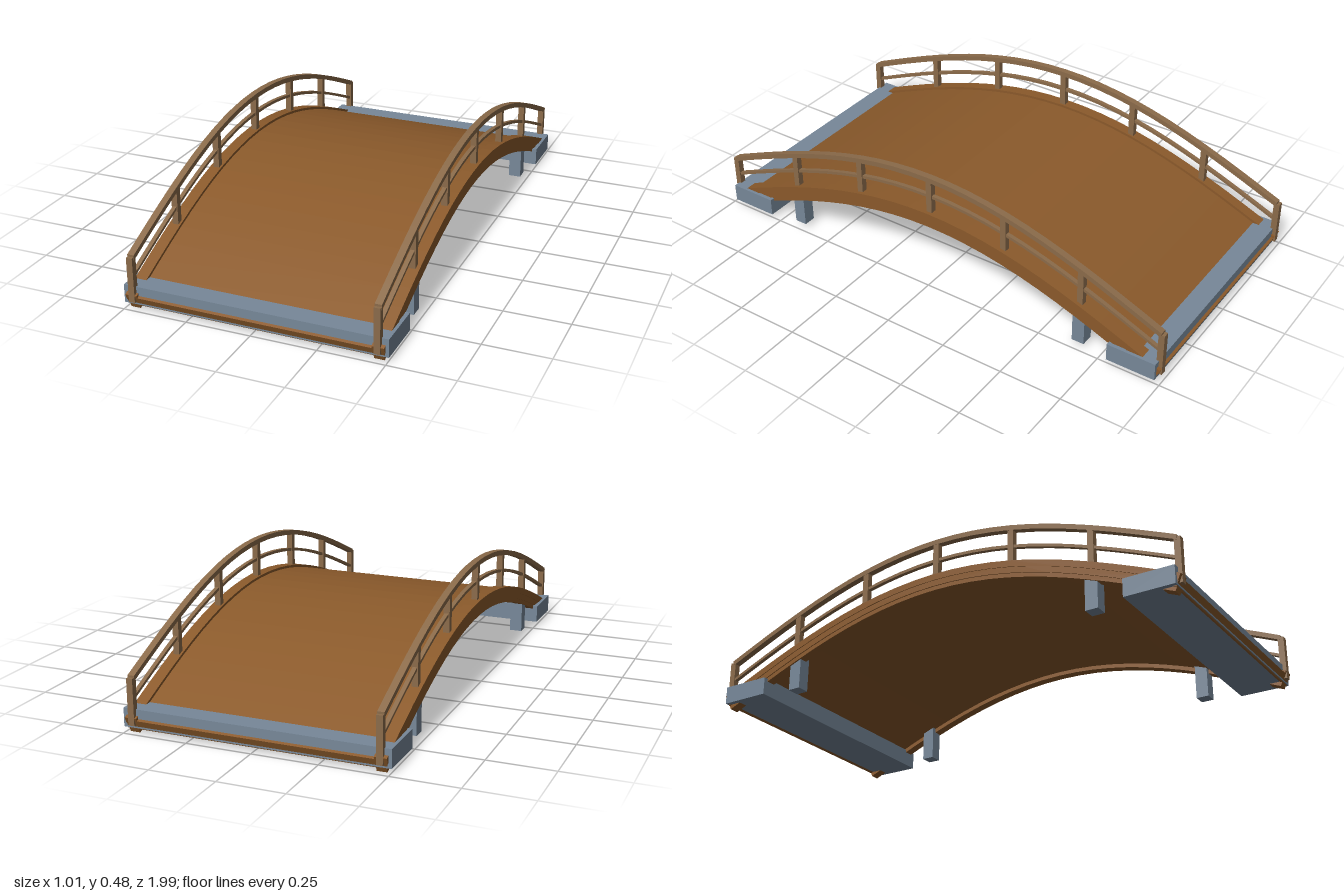
import * as THREE from 'three';

const HALF = 0.985, RISE = 0.27, SEGMENTS = 24;
const K = Math.PI / 2 / HALF;
const arch = (z) => RISE * Math.cos(K * z);

// Band following the arch: lower and upper edges offset from a curve that ends at height base
function archBand(base, low, high, width, tilted) {
  const edge = (offset) => {
    const points = [];
    for (let i = 0; i <= SEGMENTS; i++) {
      const z = -HALF + (2 * HALF * i) / SEGMENTS;
      const slope = tilted ? -RISE * K * Math.sin(K * z) : 0;
      const len = Math.hypot(1, slope);
      points.push(new THREE.Vector2(z - (slope / len) * offset, base + arch(z) + offset / len));
    }
    return points;
  };
  const shape = new THREE.Shape([...edge(low), ...edge(high).reverse()]);
  const geometry = new THREE.ExtrudeGeometry(shape, { depth: width, bevelEnabled: false });
  geometry.translate(0, 0, -width / 2);
  geometry.rotateY(-Math.PI / 2);
  return geometry;
}

export function createModel() {
  const bridge = new THREE.Group();
  bridge.name = 'archedFootbridge';
  const material = (name, color) => {
    const m = new THREE.MeshStandardMaterial({ color });
    m.name = name;
    return m;
  };
  const deckWood = material('deckWood', 0x8b5a2b);
  const railWood = material('railWood', 0x8b6b4a);
  const stone = material('stone', 0x778899);

  const add = (name, geometry, mat, x = 0, y = 0, z = 0) => {
    const mesh = new THREE.Mesh(geometry, mat);
    mesh.name = name;
    mesh.position.set(x, y, z);
    bridge.add(mesh);
  };
  const box = (name, mat, w, y0, y1, d, x, z) =>
    add(name, new THREE.BoxGeometry(w, y1 - y0, d), mat, x, (y0 + y1) / 2, z);

  // Walking surface
  add('deck', archBand(0.032, -0.018, 0.02, 0.98, true), deckWood);

  for (const side of [1, -1]) {
    const name = side > 0 ? 'left' : 'right';
    // Edge beams below and curbs above the deck
    add(name + 'Beam', archBand(0.032, -0.034, 0, 0.038, true), deckWood, side * 0.467);
    add(name + 'Curb', archBand(0.032, 0.005, 0.03, 0.046, true), deckWood, side * 0.47);

    // Handrail and middle rail
    add(name + 'Handrail', archBand(0.205, -0.01, 0.01, 0.026, false), railWood, side * 0.467);
    add(name + 'MiddleRail', archBand(0.13, -0.006, 0.006, 0.016, false), railWood, side * 0.467);

    // Evenly spaced railing posts
    for (let i = -3; i <= 3; i++) {
      const z = (i * HALF) / 3;
      const y = arch(z);
      box(name + 'Post', railWood, 0.024, y + 0.032, y + 0.207, 0.024, side * 0.467, z);
    }

    // Stone piers under the edge beams
    for (const end of [1, -1]) box(name + 'Pier', stone, 0.05, 0.02, 0.165, 0.05, side * 0.455, end * 0.655);
  }

  // Stone abutments at both ends
  for (const end of [1, -1]) box(end > 0 ? 'frontAbutment' : 'backAbutment', stone, 1.01, 0.02, 0.09, 0.195, 0, end * 0.885);

  return bridge;
}
